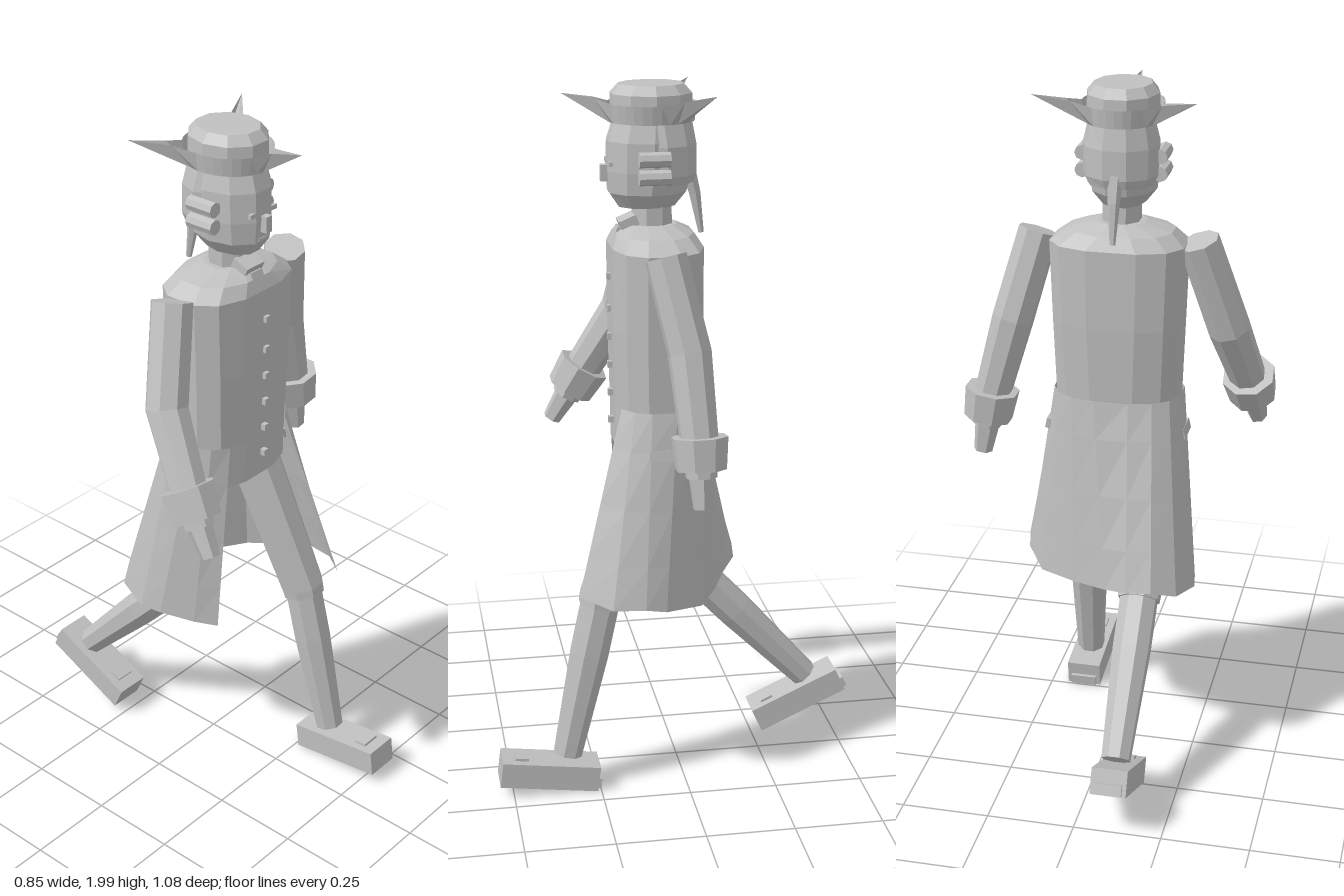
import * as THREE from 'three';

const cloth = new THREE.MeshStandardMaterial({ color: 0xc0c0c0, flatShading: true, side: THREE.DoubleSide });
cloth.name = 'plain grey';
const V = (x, y, z) => new THREE.Vector3(x, y, z);

// Skin a list of point loops; closed loops get end caps
function loft(rings, closed = true) {
  const n = rings[0].length, pos = [];
  const tri = (...p) => p.forEach(v => pos.push(v.x, v.y, v.z));
  for (let r = 0; r < rings.length - 1; r++) {
    const a = rings[r], b = rings[r + 1];
    for (let i = 0; i < (closed ? n : n - 1); i++) {
      const j = (i + 1) % n;
      tri(a[i], a[j], b[i]);
      tri(a[j], b[j], b[i]);
    }
  }
  if (closed) {
    const mid = ring => ring.reduce((s, p) => s.add(p), V(0, 0, 0)).divideScalar(n);
    const first = rings[0], last = rings[rings.length - 1], c0 = mid(first), c1 = mid(last);
    for (let i = 0; i < n; i++) {
      const j = (i + 1) % n;
      tri(c0, first[j], first[i]);
      tri(c1, last[i], last[j]);
    }
  }
  const g = new THREE.BufferGeometry();
  g.setAttribute('position', new THREE.Float32BufferAttribute(pos, 3));
  g.computeVertexNormals();
  return g;
}

// Horizontal loop; power below 1 makes it squarer
function oval(y, rx, rz, cx, cz, n = 12, power = 1, turn = 0.5) {
  const sq = t => Math.sign(t) * Math.abs(t) ** power;
  return Array.from({ length: n }, (_, i) => {
    const a = (i + turn) / n * Math.PI * 2;
    return V(cx + rx * sq(Math.sin(a)), y, cz + rz * sq(Math.cos(a)));
  });
}

// Faceted limb through points [x, y, z, radius]
function limb(path, n = 8) {
  const p = path.map(q => V(q[0], q[1], q[2]));
  return loft(p.map((c, i) => {
    const t = V(0, 0, 0);
    if (i > 0) t.add(c.clone().sub(p[i - 1]).normalize());
    if (i < p.length - 1) t.add(p[i + 1].clone().sub(c).normalize());
    t.normalize();
    const u = V(0, 0, 1).addScaledVector(t, -t.z).normalize(), v = t.clone().cross(u);
    return Array.from({ length: n }, (_, k) => {
      const a = (k + 0.5) / n * Math.PI * 2;
      return c.clone().addScaledVector(u, path[i][3] * Math.cos(a)).addScaledVector(v, path[i][3] * Math.sin(a));
    });
  }));
}

export function createModel() {
  const root = new THREE.Group();
  root.name = 'walkingFigure';
  const add = (name, geometry, parent = root) => {
    const m = new THREE.Mesh(geometry, cloth);
    m.name = name;
    parent.add(m);
    return m;
  };
  const box = (name, w, h, d, x, y, z, parent) => {
    const m = add(name, new THREE.BoxGeometry(w, h, d), parent);
    m.position.set(x, y, z);
    return m;
  };

  // Coat body and sloping shoulders
  add('coatBody', loft([
    oval(1.0, 0.175, 0.115, -0.01, 0.065, 12, 0.8), oval(1.13, 0.178, 0.122, -0.01, 0.06, 12, 0.8),
    oval(1.34, 0.185, 0.128, -0.01, 0.058, 12, 0.75), oval(1.565, 0.193, 0.128, -0.01, 0.058, 12, 0.75),
    oval(1.6, 0.15, 0.11, -0.015, 0.062, 12, 0.9), oval(1.622, 0.07, 0.07, -0.015, 0.065, 12),
  ]));
  for (const y of [1.07, 1.15, 1.23, 1.31, 1.39, 1.48]) box('button', 0.016, 0.018, 0.02, 0, y, 0.183);

  // Swinging coat skirt, open at the front
  const hem = [[0.2, 0.62, 0.305], [0.27, 0.6, 0.22], [0.28, 0.6, 0.13], [0.265, 0.585, 0.07], [0.2, 0.57, -0.04],
    [0.09, 0.575, -0.1], [-0.01, 0.58, -0.14], [-0.08, 0.6, -0.185], [-0.155, 0.612, -0.195], [-0.22, 0.59, -0.155],
    [-0.255, 0.575, -0.055], [-0.245, 0.575, 0.01], [-0.2, 0.56, 0.1], [-0.16, 0.55, 0.155]];
  const waist = hem.map((_, i) => {
    const a = 0.6 + i / (hem.length - 1) * (Math.PI * 2 - 1.2), s = t => Math.sign(t) * Math.abs(t) ** 0.8;
    return V(-0.01 + 0.184 * s(Math.sin(a)), 1.13, 0.06 + 0.128 * s(Math.cos(a)));
  });
  add('coatSkirt', loft([1, 0.8, 0.5, 0.22, 0].map(f =>
    hem.map((h, i) => V(...h).lerp(waist[i], f))), false));
  for (const s of [-1, 1]) {
    const flap = box('pocketFlap', 0.012, 0.03, 0.09, -0.005 + s * 0.195, 1.015, 0.06);
    flap.rotation.z = s * 0.2;
  }

  // Neck and cravat
  add('neck', loft([oval(1.6, 0.055, 0.058, -0.015, 0.065, 8), oval(1.7, 0.055, 0.055, -0.015, 0.065, 8)]));
  const knot = box('cravat', 0.07, 0.035, 0.05, -0.015, 1.625, 0.13);
  knot.rotation.x = 0.4;
  box('cravatEnd', 0.045, 0.04, 0.02, -0.015, 1.595, 0.16).rotation.x = -0.4;

  // Head, face and tied wig
  const head = new THREE.Group();
  head.name = 'head';
  root.add(head);
  add('skull', loft([
    oval(1.67, 0.06, 0.08, -0.018, 0.08, 10), oval(1.71, 0.092, 0.11, -0.018, 0.078, 10),
    oval(1.77, 0.1, 0.12, -0.018, 0.073, 10), oval(1.85, 0.1, 0.12, -0.018, 0.07, 10),
    oval(1.91, 0.085, 0.105, -0.018, 0.065, 10),
  ]), head);
  add('wigBack', loft([
    oval(1.735, 0.09, 0.07, -0.018, 0.022, 10), oval(1.76, 0.104, 0.09, -0.018, 0.032, 10),
    oval(1.84, 0.106, 0.095, -0.018, 0.037, 10), oval(1.91, 0.09, 0.09, -0.018, 0.045, 10),
  ]), head);
  for (const s of [-1, 1]) {
    for (const y of [1.762, 1.81]) {
      add('wigCurl', limb([[-0.018 + s * 0.113, y, 0.03, 0.021], [-0.018 + s * 0.113, y, 0.115, 0.021]]
        .map(q => [q[0], q[1], q[2] + 0.0001, q[3]]), 8).rotateY(0), head).visible = false;
      const curl = add('sideCurl', new THREE.CylinderGeometry(0.021, 0.021, 0.085, 8), head);
      curl.rotation.x = Math.PI / 2;
      curl.position.set(-0.018 + s * 0.107, y, 0.072);
    }
    box('eye', 0.024, 0.012, 0.01, -0.018 + s * 0.04, 1.792, 0.182, head);
  }
  head.children.filter(m => !m.visible).forEach(m => head.remove(m));
  box('nose', 0.022, 0.045, 0.03, -0.018, 1.762, 0.19, head);
  box('mouth', 0.035, 0.006, 0.008, -0.018, 1.718, 0.181, head);
  add('pigtail', limb([[-0.018, 1.77, -0.035, 0.022], [-0.018, 1.7, -0.055, 0.017], [-0.018, 1.59, -0.073, 0.008]], 6), head);

  // Three-cornered hat: crown plus turned-up brim with three long points
  add('hatCrown', loft([
    oval(1.9, 0.102, 0.115, -0.018, 0.065, 10), oval(1.975, 0.1, 0.113, -0.018, 0.065, 10),
    oval(2.0, 0.08, 0.09, -0.018, 0.065, 10),
  ]), head);
  const tips = [[-0.02, 1.978, 0.308], [0.2, 1.988, -0.075], [-0.242, 1.985, -0.075]];
  const N = 30, lower = oval(1.9, 0.104, 0.118, -0.018, 0.065, N, 1, 0);
  const upper = oval(1.95, 0.112, 0.124, -0.018, 0.065, N, 1, 0);
  [0, 10, 20].forEach((k, i) => {
    const tip = V(...tips[i]);
    upper[k].copy(tip);
    for (const d of [-1, 1]) upper[(k + d + N) % N].lerp(tip, 0.3).setY(1.965);
  });
  add('hatBrim', loft([lower, upper].map(r => [...r, r[0]]), false), head);

  // Arms, cuffs and hands: [shoulder, elbow, wrist, fingertips]
  const arms = {
    left: [[0.22, 1.575, 0.065], [0.285, 1.33, 0.012], [0.352, 1.08, -0.005], [0.378, 0.925, -0.008]],
    right: [[-0.23, 1.575, 0.058], [-0.312, 1.31, 0.11], [-0.358, 1.1, 0.235], [-0.373, 0.965, 0.315]],
  };
  for (const [side, [s, e, w, h]] of Object.entries(arms)) {
    const on = t => V(...w).lerp(V(...h), t).toArray();
    add(side + 'Sleeve', limb([[...s, 0.058], [...e, 0.06], [...w, 0.052]]));
    add(side + 'Cuff', limb([[...on(-0.24), 0.078], [...on(0.32), 0.07]]));
    add(side + 'Wrist', limb([[...on(0.25), 0.045], [...on(0.46), 0.043]]));
    add(side + 'Hand', limb([[...on(0.4), 0.037], [...on(1), 0.027]], 6));
  }

  // Striding legs: [hip, knee, ankle]
  const legs = {
    left: [[0.07, 1.03, 0.07], [0.125, 0.585, 0.235], [0.142, 0.115, 0.34]],
    right: [[-0.09, 1.03, 0.06], [-0.1, 0.55, -0.075], [-0.103, 0.195, -0.412]],
  };
  for (const [side, [h, k, a]] of Object.entries(legs)) {
    const on = t => V(...k).lerp(V(...a), t).toArray();
    add(side + 'Breeches', limb([[...h, 0.075], [...k, 0.064], [...on(0.05), 0.062]]));
    add(side + 'Stocking', limb([[...on(0), 0.056], [...on(0.35), 0.056], [...on(1), 0.042]]));
  }

  // Buckled shoes: x, y, z, pitch
  for (const [side, x, y, z, pitch] of [['left', 0.147, 0.068, 0.395, -0.13], ['right', -0.105, 0.128, -0.387, 0.43]]) {
    const shoe = new THREE.Group();
    shoe.name = side + 'Shoe';
    shoe.position.set(x, y, z);
    shoe.rotation.x = pitch;
    root.add(shoe);
    box('shoeBody', 0.102, 0.074, 0.282, 0, 0, 0, shoe);
    box('heelTab', 0.078, 0.03, 0.02, 0, -0.018, -0.141, shoe);
    box('buckle', 0.056, 0.009, 0.038, 0, 0.04, 0.085, shoe);
  }
  return root;
}
